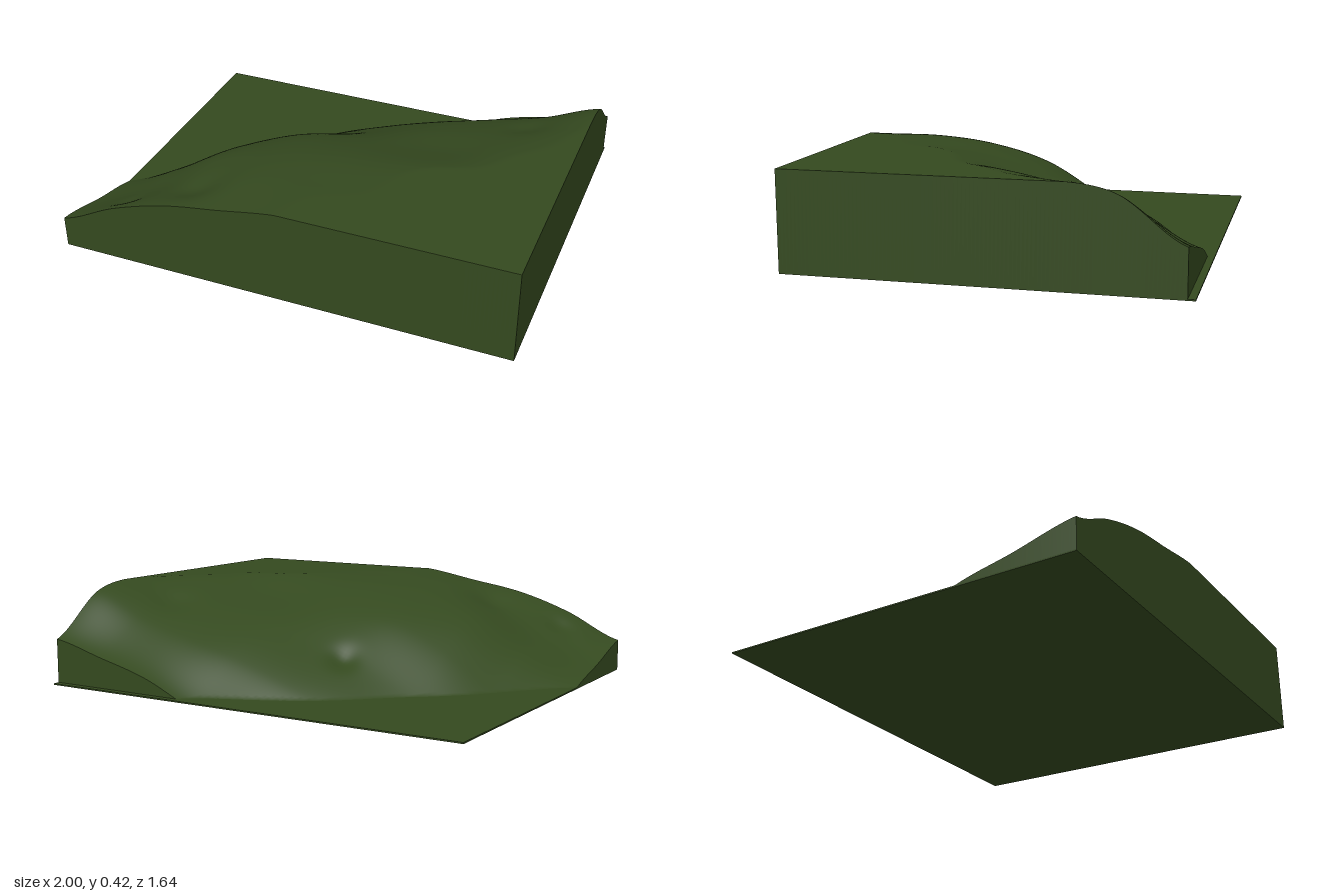
import * as THREE from 'three';

const W = 2, FRONT = 0.82, BACK = -0.79, TOP = 0.42, PLATE = 0.006;

// Coarse relief: rows run back to front, columns from x = -1 to x = 1.
// Values below zero lie under the base plate and shape the foot of the slope.
const RELIEF = [
  [-0.6, -0.48, -0.36, -0.23, -0.11, -0.03, 0.075, 0.14, 0.2],
  [-0.42, -0.3, -0.17, -0.03, 0.07, 0.15, 0.215, 0.285, 0.385],
  [-0.27, -0.14, -0.01, 0.11, 0.19, 0.26, 0.305, 0.365, 0.425],
  [-0.14, 0.0, 0.16, 0.27, 0.31, 0.33, 0.36, 0.415, 0.43],
  [0.0, 0.12, 0.27, 0.35, 0.385, 0.4, 0.425, 0.43, 0.43],
  [0.07, 0.17, 0.29, 0.38, 0.41, 0.42, 0.43, 0.43, 0.43],
  [0.14, 0.255, 0.335, 0.378, 0.42, 0.43, 0.43, 0.43, 0.43],
];

// Small gullies: x, z, radius, depth
const GULLIES = [
  [-0.15, -0.25, 0.06, 0.025],
  [0.72, -0.32, 0.09, 0.015],
  [-0.45, 0.63, 0.1, 0.025],
  [-0.76, 0.69, 0.06, 0.015],
];

function cubic(a, b, c, d, t) {
  return b + 0.5 * t * (c - a + t * (2 * a - 5 * b + 4 * c - d + t * (3 * (b - c) + d - a)));
}

function sample(values, u) {
  const last = values.length - 1;
  const i = Math.min(Math.floor(u), last - 1);
  const at = (k) => values[THREE.MathUtils.clamp(k, 0, last)];
  return cubic(at(i - 1), at(i), at(i + 1), at(i + 2), u - i);
}

function heightAt(x, z) {
  const u = THREE.MathUtils.clamp((x + 1) * 4, 0, 8);
  const v = THREE.MathUtils.clamp(((z - BACK) / (FRONT - BACK)) * 6, 0, 6);
  let h = sample(RELIEF.map((row) => sample(row, u)), v);
  for (const [gx, gz, r, depth] of GULLIES) {
    h -= depth * Math.exp(-((x - gx) ** 2 + (z - gz) ** 2) / (r * r));
  }
  return THREE.MathUtils.clamp(h, 0.004, TOP);
}

export function createModel() {
  const group = new THREE.Group();
  group.name = 'hillsideBlock';
  const material = new THREE.MeshStandardMaterial({ color: 0x34491f });

  // Solid hillside: the upper vertices of a block follow the relief
  const depth = FRONT - BACK;
  const geometry = new THREE.BoxGeometry(W, 1, depth, 120, 1, 100);
  geometry.translate(0, 0.5, (FRONT + BACK) / 2);
  const p = geometry.attributes.position;
  for (let i = 0; i < p.count; i++) {
    p.setY(i, p.getY(i) > 0.5 ? heightAt(p.getX(i), p.getZ(i)) : 0.003);
  }
  geometry.computeVertexNormals();
  const hillside = new THREE.Mesh(geometry, material);
  hillside.name = 'hillside';
  group.add(hillside);

  // Thin ground plate under the whole block
  const plate = new THREE.Mesh(new THREE.BoxGeometry(W, PLATE, FRONT * 2), material);
  plate.position.y = PLATE / 2;
  plate.name = 'groundPlate';
  group.add(plate);

  return group;
}
